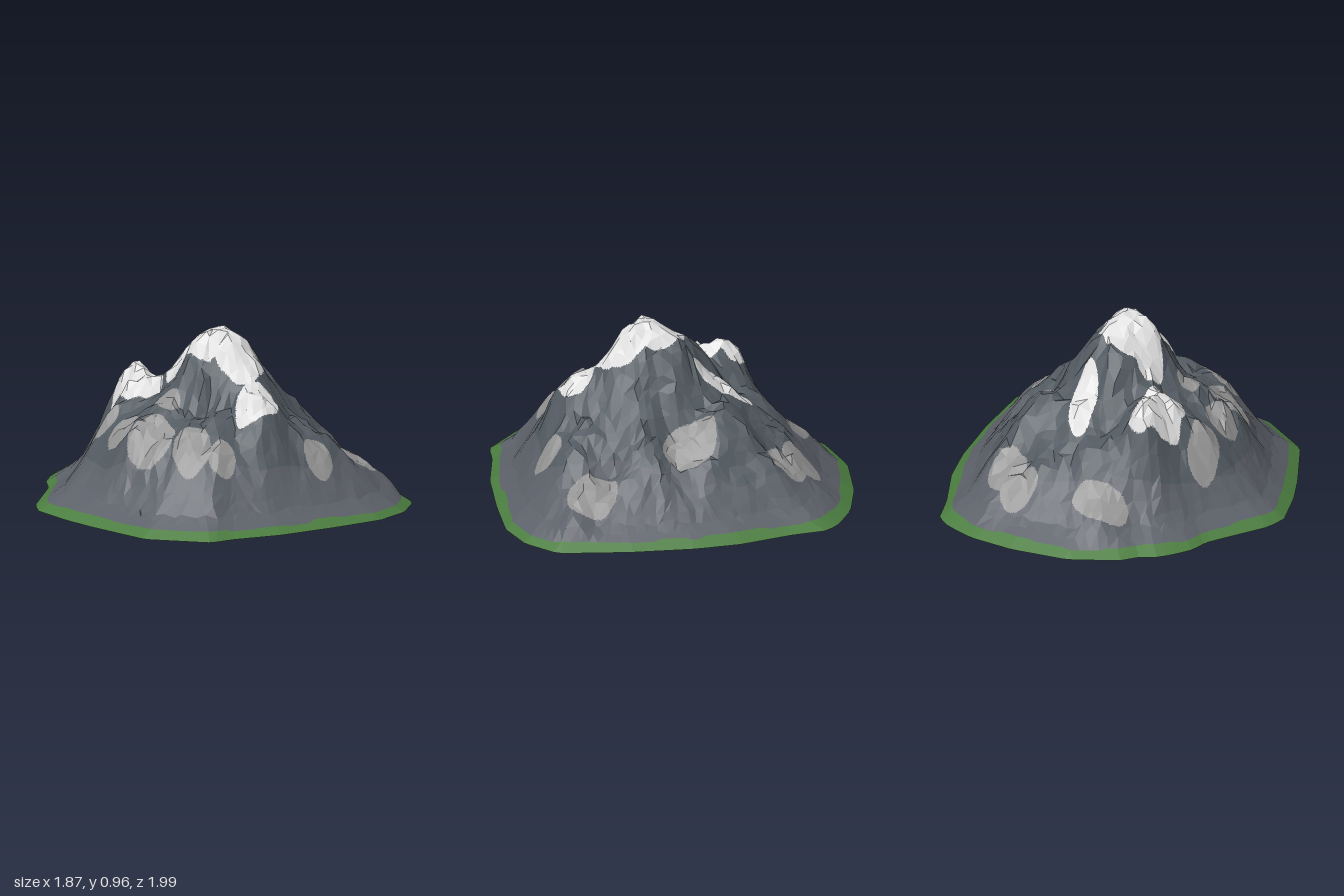
import * as THREE from 'three';

// Foot outline (x, z) and summit position
const OUTLINE = [[0.93, 0.05], [0.89, 0.4], [0.83, 0.7], [0.81, 0.79], [0.65, 0.93], [0.45, 0.99], [0.15, 0.97],
  [-0.17, 0.93], [-0.45, 0.85], [-0.57, 0.84], [-0.82, 0.57], [-0.9, 0.2], [-0.93, 0], [-0.94, -0.25],
  [-0.88, -0.36], [-0.6, -0.62], [-0.55, -0.72], [-0.45, -0.81], [-0.37, -0.86], [-0.3, -0.87], [-0.2, -0.94],
  [0.08, -1], [0.4, -0.96], [0.65, -0.88], [0.8, -0.78], [0.87, -0.7], [0.88, -0.5], [0.93, -0.2]];
const CX = 0.05, CZ = 0.1, RINGS = 22;

// Slope: height against the fraction of the way from summit to foot
const SLOPE = [[0, 0.96], [0.1, 0.88], [0.2, 0.75], [0.35, 0.58], [0.5, 0.47], [0.6, 0.39], [0.67, 0.32],
  [0.75, 0.22], [0.85, 0.1], [0.94, 0.04], [1, 0]];

// Shoulders and hollows: x, z, radius, added height
const BUMPS = [
  // summit block
  [-0.12, 0.1, 0.09, 0.12], [0.0, -0.12, 0.12, 0.11], [0.02, 0.25, 0.09, 0.11], [0.1, 0.34, 0.1, 0.08],
  [0.22, 0.02, 0.09, 0.04],
  // front shoulder
  [-0.02, 0.53, 0.14, 0.2], [0.24, 0.68, 0.1, 0.04], [-0.42, 0.45, 0.14, 0.06],
  // back ridges
  [-0.21, -0.42, 0.13, 0.22], [-0.29, -0.25, 0.13, 0.15], [0.17, -0.3, 0.09, 0.06], [-0.04, -0.79, 0.09, 0.06],
  // side ridges
  [-0.53, 0.08, 0.14, 0.1], [-0.48, -0.25, 0.12, 0.09], [0.46, -0.23, 0.11, 0.1],
  // terraces under loose stone
  [0.5, 0.44, 0.12, -0.12], [0.7, 0.67, 0.09, 0.05], [0.42, -0.5, 0.1, -0.07], [0.58, -0.7, 0.09, 0.03],
  // hollows
  [0.0, -0.36, 0.08, -0.05], [0.5, 0.03, 0.13, -0.11], [0.3, 0.34, 0.12, -0.07], [-0.22, 0.3, 0.09, -0.05]];

// Patches: x, z, half width, half depth
const SNOW = [[0, 0.06, 0.16, 0.17], [0.04, 0.24, 0.13, 0.15], [-0.02, 0.49, 0.12, 0.1], [-0.14, -0.04, 0.07, 0.1],
  [-0.26, -0.27, 0.12, 0.18], [0.17, -0.28, 0.07, 0.17], [-0.19, -0.42, 0.07, 0.07]];
const SCREE = [[-0.04, -0.72, 0.16, 0.08], [0.44, -0.66, 0.1, 0.1], [0.53, -0.55, 0.1, 0.11], [0.5, -0.03, 0.1, 0.15],
  [0.6, 0.55, 0.11, 0.14], [0.24, 0.7, 0.08, 0.07], [-0.5, -0.28, 0.08, 0.13], [-0.53, -0.03, 0.09, 0.09],
  [-0.51, 0.2, 0.12, 0.13], [-0.42, 0.45, 0.1, 0.11], [-0.31, 0.57, 0.08, 0.07], [-0.32, 0.08, 0.06, 0.08]];

const lerp = THREE.MathUtils.lerp;
const hash = (i, j) => {
  const s = Math.sin(i * 127.1 + j * 311.7) * 43758.5453;
  return s - Math.floor(s);
};
// Smooth noise in -1..1
function noise(x, z) {
  const i = Math.floor(x), j = Math.floor(z);
  const u = THREE.MathUtils.smoothstep(x - i, 0, 1), v = THREE.MathUtils.smoothstep(z - j, 0, 1);
  return 2 * lerp(lerp(hash(i, j), hash(i + 1, j), u), lerp(hash(i, j + 1), hash(i + 1, j + 1), u), v) - 1;
}

function slopeHeight(t) {
  const k = Math.max(1, SLOPE.findIndex((p) => p[0] >= t));
  const [t0, h0] = SLOPE[k - 1], [t1, h1] = SLOPE[k];
  return lerp(h0, h1, (t - t0) / (t1 - t0));
}

// Distance from summit axis to the foot in one direction
function footRadius(dx, dz) {
  let best = 0;
  OUTLINE.forEach(([ax, az], i) => {
    const [bx, bz] = OUTLINE[(i + 1) % OUTLINE.length];
    const ex = bx - ax, ez = bz - az, px = ax - CX, pz = az - CZ;
    const d = dx * ez - dz * ex;
    if (Math.abs(d) < 1e-9) return;
    const r = (px * ez - pz * ex) / d, s = (px * dz - pz * dx) / d;
    if (r > 0 && s >= -1e-6 && s <= 1 + 1e-6) best = Math.max(best, r);
  });
  return best;
}

// One surface point on a ring, nudged to break up the regular net
function surfacePoint(ring, i) {
  if (ring === 0) return new THREE.Vector3(CX, 0.96, CZ);
  const inner = ring < RINGS - 1;
  const a = ((i + (inner ? (hash(ring, i) - 0.5) * 0.7 : 0)) / (6 * ring)) * Math.PI * 2;
  let t = ring === RINGS ? 1 : 0.94 * ring / (RINGS - 1);
  if (inner) t += (hash(i + 31, ring) - 0.5) * 0.025;
  else if (ring < RINGS) t += (hash(i >> 2, 7) - 0.5) * 0.025;
  const dx = Math.cos(a), dz = Math.sin(a), r = footRadius(dx, dz) * t;
  const x = CX + dx * r, z = CZ + dz * r;
  let y = slopeHeight(t);
  if (inner) {
    const fade = THREE.MathUtils.smoothstep(t, 0, 0.2) * (1 - THREE.MathUtils.smoothstep(t, 0.6, 0.92));
    for (const [bx, bz, br, bh] of BUMPS) y += bh * Math.exp(-((x - bx) ** 2 + (z - bz) ** 2) / (br * br));
    const gully = Math.abs(noise(dx * 5 + 20, dz * 5 + 20)) - 0.4;
    y += fade * (0.02 * noise(x * 8, z * 8) + 0.03 * noise(x * 18 + 9, z * 18) - 0.03 * gully);
    y = Math.max(0.045, Math.min(y, 0.92 + 0.045 * hash(i, ring)));
  }
  return new THREE.Vector3(x, y, z);
}

const inPatch = (list, x, z) => list.some(([px, pz, rx, rz]) =>
  ((x - px) / rx) ** 2 + ((z - pz) / rz) ** 2 < 1 + 0.2 * noise(x * 14, z * 14));

// Ground cover at a surface point
function coverAt({ x, y, z }) {
  if (inPatch(SNOW, x, z)) return 'snow';
  if (inPatch(SCREE, x, z)) return 'scree';
  return y < 0.3 + 0.1 * noise(x * 4, z * 4) ? 'lowerRock' : 'rock';
}

export function createModel() {
  const group = new THREE.Group();
  group.name = 'mountain';
  const colors = { grass: 0x4b7d40, lowerRock: 0x5c6068, rock: 0x525a61, scree: 0x949494, snow: 0xdedede };
  const parts = Object.fromEntries(Object.keys(colors).map((k) => [k, []]));

  // Rings of points, six more on each ring outward
  const rings = [];
  for (let k = 0; k <= RINGS; k++) {
    rings.push(Array.from({ length: Math.max(1, 6 * k) }, (_, i) => surfacePoint(k, i)));
  }
  const at = (k, i) => rings[k][i % rings[k].length];
  const put = (part, ...corners) => corners.forEach((p) => parts[part].push(p.x, p.y, p.z));

  // Sort a face by ground cover, splitting it in its own plane where two covers meet
  const addRock = (a, b, c, splits) => {
    const center = a.clone().add(b).add(c).divideScalar(3);
    const cover = coverAt(center);
    if (splits === 0 || [a, b, c].every((p) => coverAt(p) === cover)) {
      put(cover, a, b, c);
      return;
    }
    const ab = a.clone().lerp(b, 0.5), bc = b.clone().lerp(c, 0.5), ca = c.clone().lerp(a, 0.5);
    for (const face of [[a, ab, ca], [ab, b, bc], [ca, bc, c], [ab, bc, ca]]) addRock(...face, splits - 1);
  };
  const addFace = (k, a, b, c) => (k === RINGS ? put('grass', a, b, c) : addRock(a, b, c, 3));

  for (let k = 1; k <= RINGS; k++) {
    for (let s = 0; s < 6; s++) {
      for (let j = 0; j < k; j++) {
        const o0 = at(k, s * k + j), o1 = at(k, s * k + j + 1), n0 = at(k - 1, s * (k - 1) + j);
        addFace(k, n0, o1, o0);
        if (j < k - 1) addFace(k, n0, at(k - 1, s * (k - 1) + j + 1), o1);
      }
    }
  }

  // One faceted open shell for each ground cover
  for (const [name, positions] of Object.entries(parts)) {
    const geometry = new THREE.BufferGeometry();
    geometry.setAttribute('position', new THREE.Float32BufferAttribute(positions, 3));
    geometry.computeVertexNormals();
    const material = new THREE.MeshStandardMaterial({ color: colors[name], flatShading: true, side: THREE.DoubleSide });
    material.name = name;
    const mesh = new THREE.Mesh(geometry, material);
    mesh.name = name;
    group.add(mesh);
  }
  return group;
}
